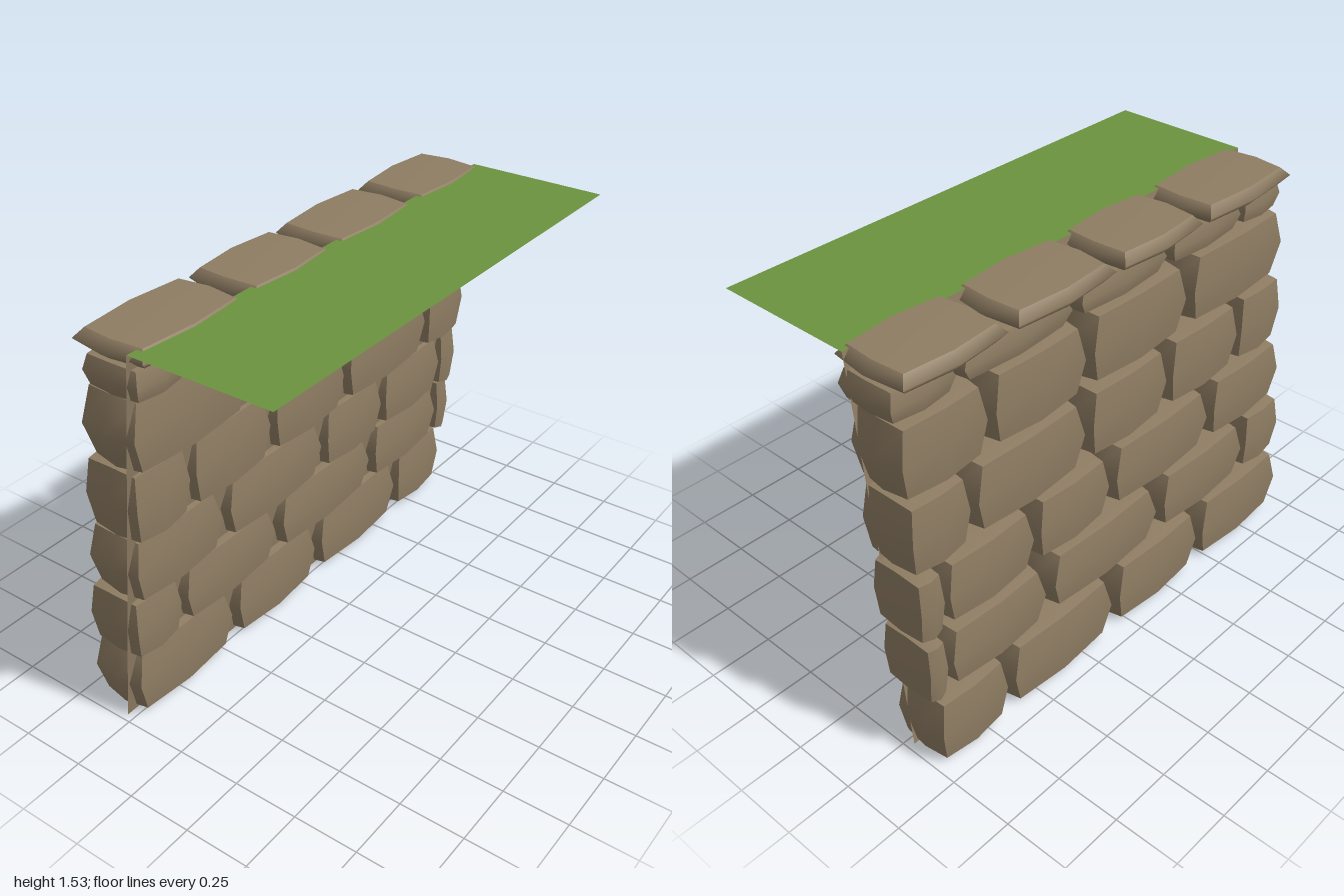
import * as THREE from 'three';

const stoneMat = new THREE.MeshStandardMaterial({ color: 0x8f7d63, side: THREE.DoubleSide });
stoneMat.name = 'stone';
const grassMat = new THREE.MeshStandardMaterial({ color: 0x6b933f, side: THREE.DoubleSide });
grassMat.name = 'grass';

// Scale of a corner coordinate, given how far out it lies on the other two axes
const pinch = (a, b, fa, fb, corner) => (a && b ? corner : a ? fa : b ? fb : 1);

// Pillow-shaped stone: a 2x2x2 box whose edges and corners are drawn inwards
function stone(x0, x1, y0, y1, z0, z1, zPinch) {
  const geo = new THREE.BoxGeometry(2, 2, 2, 2, 2, 2);
  const p = geo.attributes.position;
  for (let i = 0; i < p.count; i++) {
    const x = Math.round(p.getX(i)), y = Math.round(p.getY(i)), z = Math.round(p.getZ(i));
    const ax = Math.abs(x), ay = Math.abs(y), az = Math.abs(z);
    p.setXYZ(i,
      x * pinch(ay, az, 0.84, 0.91, 0.79) * (x1 - x0) / 2,
      y * pinch(ax, az, 0.94, 0.92, 0.88) * (y1 - y0) / 2,
      z * pinch(ax, ay, 0.88, zPinch, zPinch - 0.1) * (z1 - z0) / 2);
  }
  geo.computeVertexNormals();
  const mesh = new THREE.Mesh(geo, stoneMat);
  mesh.position.set((x0 + x1) / 2, (y0 + y1) / 2, (z0 + z1) / 2);
  return mesh;
}

// Courses from the ground up: heights, depth range and the joints along x
const courses = [
  { y: [0.005, 0.29], z: [-0.45, -0.2], x: [-0.98, -0.435, 0.08, 0.65, 0.99] },
  { y: [0.285, 0.54], z: [-0.425, -0.17], x: [-0.98, -0.74, -0.2, 0.42, 0.91, 0.995] },
  { y: [0.535, 0.8], z: [-0.4, -0.145], x: [-0.985, -0.52, 0.065, 0.455, 0.885, 0.995] },
  { y: [0.795, 1.08], z: [-0.375, -0.115], x: [-0.98, -0.705, -0.275, 0.165, 0.725, 0.995] },
  { y: [1.07, 1.355], z: [-0.347, -0.09], x: [-1, -0.405, 0.14, 0.605, 0.995] },
  { y: [1.35, 1.47], z: [-0.32, -0.06], x: [-0.98, -0.74, -0.31, 0.175, 0.71, 0.995] },
  { y: [1.46, 1.535], z: [-0.37, -0.035], x: [-0.98, -0.445, 0.015, 0.52, 0.99], cap: true },
];

// Flat strip spanning the wall between two (y, z) edges
function strip(name, material, yA, zA, yB, zB) {
  const geo = new THREE.PlaneGeometry(1.95, 1);
  const p = geo.attributes.position;
  for (let i = 0; i < p.count; i++) {
    const t = p.getY(i) + 0.5;
    p.setY(i, yA + (yB - yA) * t);
    p.setZ(i, zA + (zB - zA) * t);
  }
  geo.computeVertexNormals();
  const mesh = new THREE.Mesh(geo, material);
  mesh.name = name;
  return mesh;
}

export function createModel() {
  const model = new THREE.Group();
  model.name = 'stoneRetainingWall';

  courses.forEach(({ y, z, x, cap }, row) => {
    const course = new THREE.Group();
    course.name = cap ? 'capStones' : `stoneCourse${row + 1}`;
    for (let i = 0; i + 1 < x.length; i++) {
      const block = stone(x[i], x[i + 1], ...y, ...z, cap ? 0.82 : 0.88);
      block.name = cap ? 'capStone' : 'wallStone';
      course.add(block);
    }
    model.add(course);
  });

  // Leaning mortar sheet inside the wall, and the lawn level with its top
  model.add(strip('mortarBacking', stoneMat, 0, -0.28, 1.525, -0.1));
  model.add(strip('lawn', grassMat, 1.525, 0.45, 1.525, -0.1));
  return model;
}
